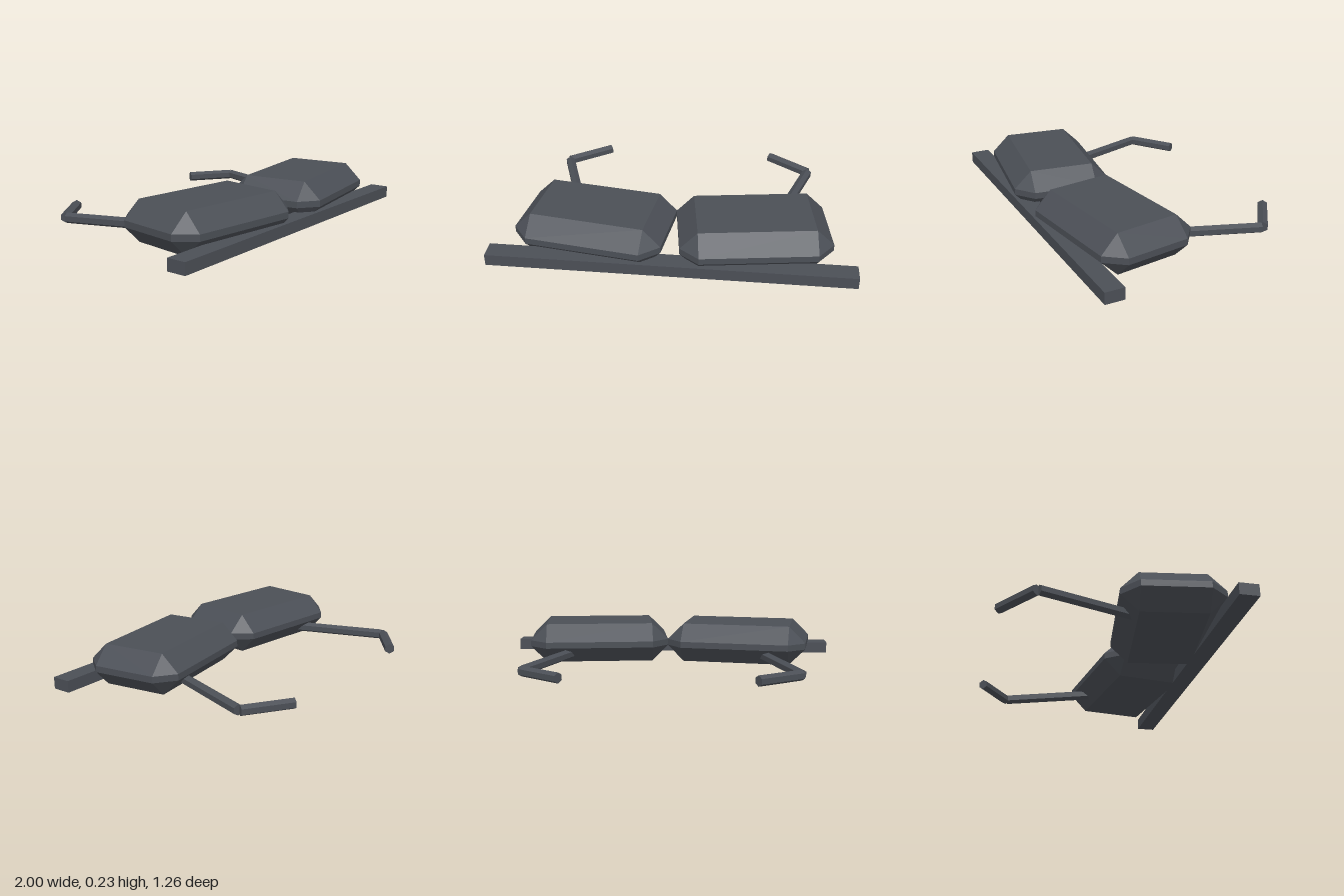
import * as THREE from 'three';
import { ConvexGeometry } from 'three/addons/geometries/ConvexGeometry.js';

// Box with every edge and corner cut back by c
function chamferedBox(w, h, d, c) {
  const points = [];
  const [x, y, z] = [w / 2, h / 2, d / 2];
  for (const sx of [-1, 1]) for (const sy of [-1, 1]) for (const sz of [-1, 1]) {
    points.push(
      new THREE.Vector3(sx * x, sy * (y - c), sz * (z - c)),
      new THREE.Vector3(sx * (x - c), sy * y, sz * (z - c)),
      new THREE.Vector3(sx * (x - c), sy * (y - c), sz * z),
    );
  }
  return new ConvexGeometry(points);
}

// Six-sided rod between two points, with a ridge on top
function rod(name, a, b, radius, material) {
  const geometry = new THREE.CylinderGeometry(radius, radius, a.distanceTo(b), 6);
  geometry.rotateX(Math.PI / 2);
  const mesh = new THREE.Mesh(geometry, material);
  mesh.position.copy(a).lerp(b, 0.5);
  mesh.lookAt(b);
  mesh.name = name;
  return mesh;
}

export function createModel() {
  const model = new THREE.Group();
  model.name = 'glasses';
  const frame = new THREE.MeshStandardMaterial({ color: 0x4b4f56, flatShading: true });
  frame.name = 'dark grey';

  // Long straight bar across the front
  const bar = new THREE.Mesh(new THREE.BoxGeometry(2, 0.066, 0.108), frame);
  bar.name = 'frontBar';
  bar.position.set(0, 0.033, 0.57);
  model.add(bar);

  for (const s of [1, -1]) {
    const side = s > 0 ? 'left' : 'right';

    // Thick chamfered block, turned slightly outwards
    const block = new THREE.Mesh(chamferedBox(0.83, 0.23, 0.556, 0.097), frame);
    block.name = side + 'Block';
    block.position.set(s * 0.436, 0.115, 0.31);
    block.rotation.y = s * 0.141;
    model.add(block);

    // Bent arm behind the block
    const start = new THREE.Vector3(s * 0.578, 0.056, 0.085);
    const bend = new THREE.Vector3(s * 0.755, 0.051, -0.432);
    const hook = new THREE.Vector3(s * 0.755, 0.051, -0.443);
    const tip = new THREE.Vector3(s * 0.52, 0.051, -0.609);
    model.add(rod(side + 'Arm', start, bend, 0.03, frame));
    model.add(rod(side + 'ArmTip', hook, tip, 0.03, frame));
  }
  return model;
}
